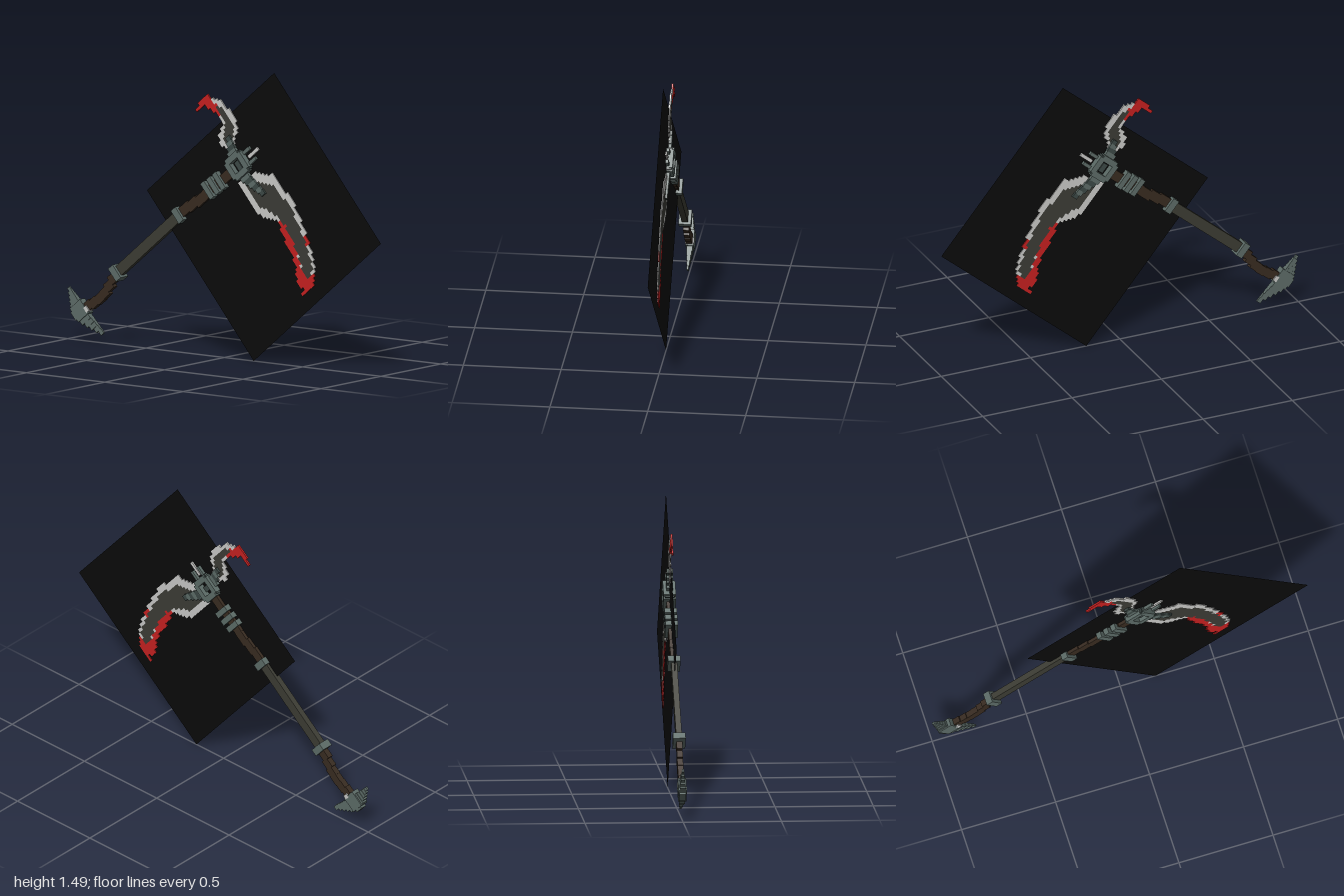
import * as THREE from 'three';
import { mergeGeometries } from 'three/addons/utils/BufferGeometryUtils.js';

const ANGLE = THREE.MathUtils.degToRad(40); // lean of the shaft
const RING = new THREE.Vector2(0.10, 1.0);  // centre of the head ring
const CELL = 1.06 / 64;                     // size of one blade step

function inside(p, poly) {
  let hit = false;
  for (let i = 0, j = poly.length - 1; i < poly.length; j = i++) {
    const a = poly[i], b = poly[j];
    if ((a.y > p.y) !== (b.y > p.y) && p.x < (b.x - a.x) * (p.y - a.y) / (b.y - a.y) + a.x) hit = !hit;
  }
  return hit;
}

// Outline in hundredths of a unit -> shaft-aligned coordinates
const outline = pts => pts.map(([x, y]) =>
  new THREE.Vector2(x / 100, y / 100).sub(RING).rotateAround(new THREE.Vector2(), -ANGLE));

export function createModel() {
  const mat = (name, color, side = THREE.FrontSide) => {
    const m = new THREE.MeshStandardMaterial({ color, side });
    m.name = name;
    return m;
  };
  const iron = mat('greyGreenIron', 0x5c6b67);
  const darkIron = mat('darkIron', 0x3c4845);
  const silver = mat('silverEdge', 0xc8c8c6);
  const core = mat('darkBlade', 0x3b3b35);
  const red = mat('redStain', 0xc52020);
  const wood = mat('brownGrip', 0x382b20);
  const olive = mat('oliveShaft', 0x3c3c33);
  const black = mat('blackPanel', 0x0a0a0a, THREE.DoubleSide);

  const model = new THREE.Group();
  model.name = 'scythe';
  const body = new THREE.Group(); // local x runs up the shaft, local y across it
  body.name = 'scytheBody';
  body.position.set(RING.x, RING.y, 0);
  body.rotation.z = ANGLE;
  model.add(body);

  const add = (name, geometry, material) => {
    const m = new THREE.Mesh(geometry, material);
    m.name = name;
    body.add(m);
    return m;
  };
  const box = (name, material, u, v, lu, lv, lz) => {
    const m = add(name, new THREE.BoxGeometry(lu, lv, lz), material);
    m.position.set(u, v, 0);
    return m;
  };

  // Stepped blade: each cell takes the last layer that covers it
  function blade(name, layers) {
    const polys = layers.map(l => outline(l.points));
    const parts = layers.map(() => []);
    const p = new THREE.Vector2();
    for (let j = -45; j < 30; j++) {
      let start = -40, current = -1;
      for (let i = -40; i <= 40; i++) {
        p.set((i + 0.5) * CELL, (j + 0.5) * CELL);
        let layer = -1;
        polys.forEach((poly, k) => { if (inside(p, poly)) layer = k; });
        if (layer === current) continue;
        if (current >= 0) {
          const g = new THREE.BoxGeometry((i - start) * CELL, CELL, 0.009);
          parts[current].push(g.translate((i + start) / 2 * CELL, (j + 0.5) * CELL, 0));
        }
        start = i;
        current = layer;
      }
    }
    layers.forEach((l, k) => add(name + l.part, mergeGeometries(parts[k]), l.material));
  }

  // Flat square panel behind the blades
  const panel = add('blackPanel', new THREE.PlaneGeometry(1.06, 1.06), black);
  const pc = new THREE.Vector2(0.253, 0.748).sub(RING).rotateAround(new THREE.Vector2(), -ANGLE);
  panel.position.set(pc.x, pc.y, 0);

  // Long lower blade
  blade('mainBlade', [
    { part: 'Edge', material: silver, points: [[13, 93], [20, 98], [25, 96.5], [31.5, 97.5], [35, 93], [39.5, 89],
      [44, 85], [46.5, 79.5], [50, 74], [53.5, 66.5], [56.5, 58.5], [58, 51.5], [57, 45], [53, 36], [51, 40],
      [47, 53], [43, 60], [37.5, 67.5], [35, 73], [28, 74.5], [21.5, 76], [17, 81], [13, 87], [10, 90.5]] },
    { part: 'Core', material: core, points: [[13, 93], [25, 92], [32, 92], [37.5, 86], [44, 81], [46.5, 74.5],
      [51, 66.5], [53.5, 60], [57, 51.5], [54.5, 46], [51, 47], [48, 56], [43, 65], [36, 75], [28, 78.5],
      [22, 79.5], [18, 85]] },
    { part: 'Stain', material: red, points: [[35, 74], [39.5, 71.5], [43, 65.5], [46.5, 59], [49, 51.5], [52.5, 46],
      [57.5, 48], [56.5, 41], [53, 36], [48.5, 34], [51, 40], [46.5, 42.5], [46.5, 50.5], [43, 58.5], [37.5, 66.5]] },
    { part: 'Fleck', material: red, points: [[50, 68], [53, 67], [55, 62], [52.5, 63]] },
  ]);

  // Short upper blade
  blade('hookBlade', [
    { part: 'Edge', material: silver, points: [[3.5, 107], [-2, 109.5], [-3.5, 113.5], [-0.5, 120], [-2, 123],
      [-6.5, 125.5], [-9.5, 128], [-10.5, 132.5], [-3, 132], [2.5, 128.5], [6.5, 124], [9, 119.5], [7.5, 113.5], [6.5, 107]] },
    { part: 'Core', material: core, points: [[-9, 131], [-3, 129.5], [1, 126.5], [4.5, 122], [6.5, 118.5], [5, 112],
      [3, 108], [0, 113.5], [1, 118.5], [-1, 124], [-5.5, 127]] },
    { part: 'Stain', material: red, points: [[-19.5, 125.5], [-15, 130], [-13.5, 133.5], [-9, 134], [-7.5, 130.5],
      [-4.5, 129.5], [-2, 123], [-6.5, 126], [-12, 128], [-17, 125]] },
  ]);

  // Square ring at the head
  for (const s of [-1, 1]) {
    box('headRingSide', iron, 0, s * 0.047, 0.095, 0.032, 0.064);
    box('headRingEnd', iron, s * 0.047, 0, 0.032, 0.095, 0.064);
    box('headRingCorner', darkIron, s * 0.047, s * 0.047, 0.02, 0.02, 0.05);
    box('headRingCorner', darkIron, s * 0.047, -s * 0.047, 0.02, 0.02, 0.05);
  }
  box('headRingInset', darkIron, 0, 0, 0.03, 0.05, 0.03);

  // Prongs above the ring
  box('longProng', silver, 0.115, -0.002, 0.08, 0.018, 0.016);
  box('shortProng', iron, 0.09, 0.03, 0.05, 0.018, 0.03);
  box('shortProng', iron, 0.09, -0.032, 0.05, 0.018, 0.03);

  // Stepped brackets gripping the blade roots
  for (let i = 0; i < 6; i++) {
    box('mainBladeBracket', i % 2 ? darkIron : iron, -0.005 + i * 0.008, -0.075 - i * 0.024, 0.06 - i * 0.006, 0.026, 0.032);
  }
  for (let i = 0; i < 4; i++) {
    box('hookBladeBracket', i % 2 ? darkIron : iron, 0.008 + i * 0.009, 0.075 + i * 0.022, 0.062 - i * 0.011, 0.024, 0.032);
  }

  // Upper grip, slightly staggered
  [[-0.09, 0], [-0.165, 0.004], [-0.24, 0.006], [-0.31, 0.004], [-0.37, 0.014], [-0.43, 0.022]]
    .forEach(([u, v]) => box('upperGrip', wood, u, v, 0.08, 0.052, 0.032));
  [-0.144, -0.19, -0.236].forEach((u, i) => box('gripBand', iron, u, 0.004 + i * 0.003, 0.03, 0.098, 0.064));

  // Plain shaft and its two collars
  box('shaft', olive, -0.74, 0.02, 0.5, 0.056, 0.03);
  for (const u of [-0.477, -1.0]) {
    box('collar', iron, u, 0.02, 0.038, 0.08, 0.064);
  }

  // Lower grip, curving towards the pommel
  [[-1.04, 0.012], [-1.085, -0.003], [-1.13, -0.015], [-1.175, -0.018], [-1.22, -0.014], [-1.26, -0.006]]
    .forEach(([u, v]) => box('lowerGrip', wood, u, v, 0.052, 0.048, 0.03));

  // Pommel with two tapering horns
  box('pommel', iron, -1.318, 0.004, 0.085, 0.085, 0.042);
  box('pommelCap', iron, -1.352, 0.004, 0.04, 0.05, 0.034);
  box('pommelStud', silver, -1.275, -0.016, 0.022, 0.03, 0.044);
  for (let i = 0; i < 5; i++) {
    box('upperHorn', iron, -1.325 + i * 0.004, 0.05 + i * 0.02, 0.062 - i * 0.011, 0.022, 0.03 - i * 0.005);
    box('lowerHorn', iron, -1.32 + i * 0.009, -0.05 - i * 0.026, 0.068 - i * 0.011, 0.028, 0.03 - i * 0.005);
  }
  return model;
}
